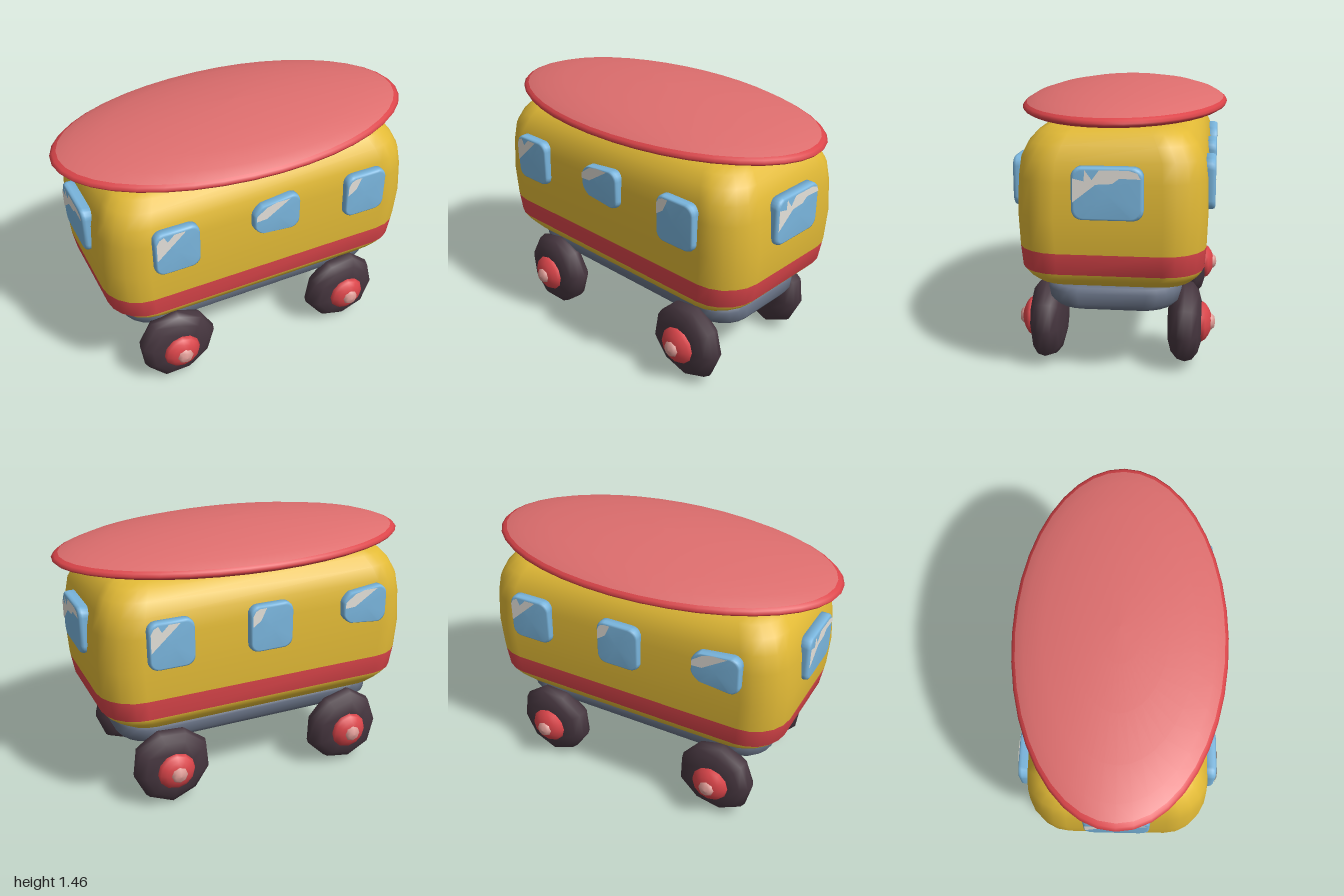
import * as THREE from 'three';

const mat = (name, color, side = THREE.FrontSide) => {
  const m = new THREE.MeshStandardMaterial({ color, side });
  m.name = name;
  return m;
};

// Solid from stacked rounded-rectangle rings [y, halfX, halfZ, cornerRadius, bandMaterial]
function ringSolid(rings, steps = 5) {
  const pos = [], idx = [], geo = new THREE.BufferGeometry();
  const n = 4 * (steps + 1);
  for (const [y, hx, hz, r] of rings) {
    for (let c = 0; c < 4; c++) {
      const sx = c === 0 || c === 3 ? 1 : -1, sz = c < 2 ? 1 : -1;
      for (let s = 0; s <= steps; s++) {
        const a = (c + s / steps) * Math.PI / 2;
        pos.push(sx * (hx - r) + r * Math.cos(a), y, sz * (hz - r) + r * Math.sin(a));
      }
    }
  }
  const last = rings.length - 1, bottom = pos.length / 3, top = bottom + 1;
  pos.push(0, rings[0][0], 0, 0, rings[last][0], 0);
  const band = (material, fill) => {
    const start = idx.length;
    for (let j = 0; j < n; j++) fill(j, (j + 1) % n);
    geo.addGroup(start, idx.length - start, material);
  };
  band(0, (j, k) => idx.push(bottom, j, k));
  for (let i = 0; i < last; i++) {
    band(rings[i][4] || 0, (j, k) => {
      const a = i * n + j, b = i * n + k;
      idx.push(a, a + n, b, b, a + n, b + n);
    });
  }
  band(0, (j, k) => idx.push(top, last * n + k, last * n + j));
  geo.setAttribute('position', new THREE.Float32BufferAttribute(pos, 3));
  geo.setIndex(idx);
  geo.computeVertexNormals();
  return geo;
}

const lathe = (points, segments) =>
  new THREE.LatheGeometry(points.map(([x, y]) => new THREE.Vector2(x, y)), segments);

// Glare outlines, as fractions of the window's half size
const GLARE = {
  band: [[-0.92, -0.2], [0.35, 0.91], [-0.15, 0.91], [-0.45, 0.62], [-0.6, 0.9], [-0.8, 0.8], [-0.92, 0.6]],
  corner: [[-0.92, 0.15], [-0.55, 0.4], [-0.3, 0.91], [-0.6, 0.91], [-0.8, 0.82], [-0.92, 0.6]],
  wide: [[-0.94, -0.3], [-0.3, 0.38], [0.15, 0.42], [0.35, 0.62], [0.93, 0.6], [0.84, 0.82], [0.6, 0.92],
    [-0.2, 0.92], [-0.4, 0.55], [-0.6, 0.92], [-0.62, 0.5], [-0.94, 0.6]],
  slant: [[-0.94, 0.1], [-0.5, 0.1], [0.5, 0.91], [-0.1, 0.91], [-0.5, 0.86], [-0.92, 0.6]],
};

export function createModel() {
  const yellow = mat('body yellow', 0xe2ba36);
  const red = mat('trim red', 0xdb454a);
  const roofRed = mat('roof light red', 0xde6e6e);
  const blue = mat('window blue', 0x7ab6de);
  const white = mat('glare white', 0xe4e1da, THREE.DoubleSide);
  const grey = mat('chassis grey', 0x697386);
  const dark = mat('tyre dark', 0x46363f);
  const pink = mat('hub cap pink', 0xdc9a94);

  const model = new THREE.Group();
  model.name = 'wagon';
  const add = (parent, name, geometry, material) => {
    const mesh = new THREE.Mesh(geometry, material);
    mesh.name = name;
    parent.add(mesh);
    return mesh;
  };

  // Rounded cabin with a red stripe band
  add(model, 'cabin', ringSolid([
    [0.47, 0.72, 0.36, 0.14], [0.49, 0.78, 0.40, 0.17], [0.53, 0.835, 0.435, 0.19],
    [0.57, 0.87, 0.458, 0.2, 1], [0.68, 0.89, 0.467, 0.21], [0.85, 0.9, 0.473, 0.21],
    [1.03, 0.888, 0.468, 0.21], [1.13, 0.868, 0.455, 0.2], [1.2, 0.835, 0.42, 0.19],
    [1.25, 0.79, 0.375, 0.17], [1.275, 0.74, 0.32, 0.14], [1.28, 0.66, 0.26, 0.12],
  ]), [yellow, red]);

  // Chassis slab
  add(model, 'chassis', ringSolid([
    [0.34, 0.70, 0.27, 0.14], [0.352, 0.745, 0.305, 0.16], [0.385, 0.77, 0.335, 0.17],
    [0.44, 0.77, 0.345, 0.17], [0.465, 0.755, 0.33, 0.16], [0.475, 0.72, 0.3, 0.14],
  ]), grey);

  // Oval lens-shaped roof: red underside and rim, lighter top
  const under = lathe([[0, 1.24], [0.3, 1.245], [0.6, 1.265], [0.85, 1.29], [0.95, 1.305],
    [0.99, 1.318], [1, 1.33], [0.985, 1.343], [0.965, 1.352]], 40);
  const upper = lathe([[0.965, 1.352], [0.88, 1.38], [0.7, 1.412], [0.45, 1.438], [0.2, 1.452], [0, 1.455]], 40);
  add(model, 'roofRim', under, red).scale.z = 0.555;
  add(model, 'roofTop', upper, roofRed).scale.z = 0.555;

  // Cushion windows with a glare plate; offset is measured along the wall
  function addWindow(name, yaw, wall, offset, y, hx, hy, glare) {
    const pane = new THREE.Group();
    pane.name = name;
    const squeeze = (x) => glare === 'slant' ? 1 - 0.45 * Math.max(0, -x) ** 2 : 1;
    const glass = ringSolid([
      [-0.05, hx, hy, 0.05], [0.015, hx, hy, 0.05], [0.028, hx * 0.97, hy * 0.97, 0.048],
      [0.034, hx * 0.9, hy * 0.9, 0.045],
    ]);
    glass.rotateX(Math.PI / 2);
    const p = glass.attributes.position;
    for (let i = 0; i < p.count; i++) p.setY(i, p.getY(i) * squeeze(p.getX(i) / hx));
    glass.computeVertexNormals();
    add(pane, 'glass', glass, blue);
    const outline = GLARE[glare].map(([u, v]) => new THREE.Vector2(u * hx, v * hy * squeeze(u)));
    add(pane, 'glare', new THREE.ShapeGeometry(new THREE.Shape(outline)), white).position.z = 0.037;
    pane.position.set(offset, y, wall).applyAxisAngle(new THREE.Vector3(0, 1, 0), yaw);
    pane.rotation.y = yaw;
    model.add(pane);
  }
  const sides = [['front', 0, ['band', 'slant', 'corner']], ['back', Math.PI, ['band', 'corner', 'slant']]];
  for (const [label, yaw, glares] of sides) {
    glares.forEach((glare, i) => {
      const slant = glare === 'slant';
      addWindow(label + 'Window', yaw, 0.472, (i - 1) * 0.55 + (slant ? 0.01 : 0),
        slant ? 1.015 : 0.987, slant ? 0.135 : 0.124, slant ? 0.106 : 0.128, glare);
    });
  }
  for (const s of [1, -1]) {
    addWindow(s > 0 ? 'leftEndWindow' : 'rightEndWindow', s * Math.PI / 2, 0.894, 0, 0.987, 0.172, 0.128, 'wide');
  }

  // Chunky, slightly irregular wheels with red hubs and pink caps
  const tyreProfile = [[0, -0.088], [0.11, -0.085], [0.17, -0.068], [0.21, -0.035], [0.222, 0],
    [0.21, 0.04], [0.17, 0.07], [0.11, 0.087], [0, 0.09]];
  const hubProfile = [[0.095, 0.06], [0.106, 0.09], [0.095, 0.108], [0.07, 0.125], [0.04, 0.138], [0, 0.14]];
  const capProfile = [[0.047, 0.125], [0.045, 0.14], [0.03, 0.155], [0, 0.16]];
  let turn = 0.3;
  for (const z of [1, -1]) {
    for (const x of [-0.535, 0.53]) {
      const wheel = new THREE.Group();
      wheel.name = 'wheel';
      const tyre = lathe(tyreProfile, 9), p = tyre.attributes.position;
      for (let i = 0; i < p.count; i++) {
        const a = Math.atan2(p.getZ(i), p.getX(i));
        const k = 1 + 0.035 * Math.sin(3 * a + turn * 4);
        p.setX(i, p.getX(i) * k);
        p.setZ(i, p.getZ(i) * k);
      }
      add(wheel, 'tyre', tyre, dark).rotation.y = turn;
      add(wheel, 'hub', lathe(hubProfile, 12), red);
      add(wheel, 'hubCap', lathe(capProfile, 8), pink);
      wheel.rotation.x = z * Math.PI / 2;
      wheel.position.set(x, 0.226, z * 0.36);
      model.add(wheel);
      turn += 0.47;
    }
  }
  return model;
}
